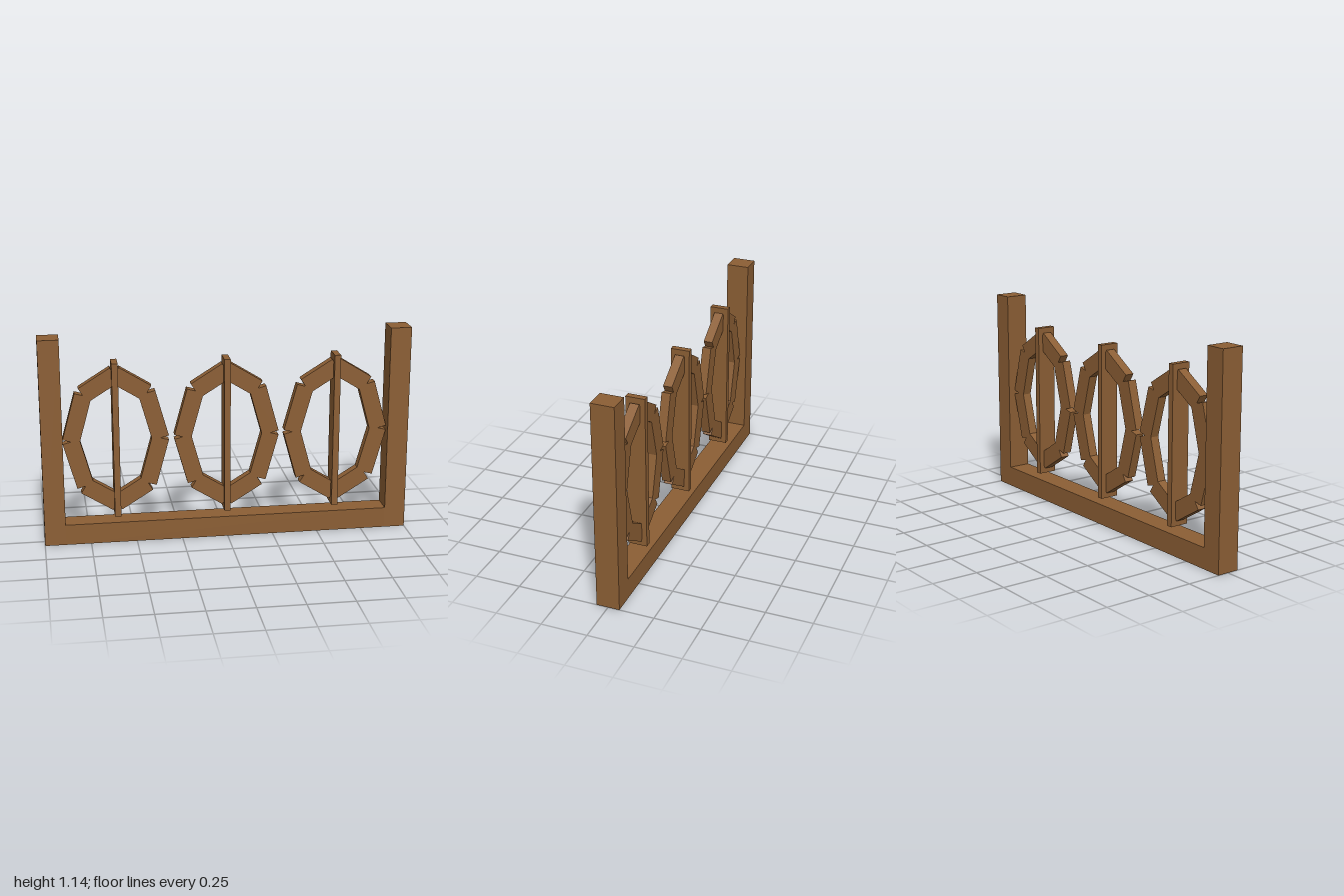
import * as THREE from 'three';

export function createModel() {
  const model = new THREE.Group();
  const wood = new THREE.MeshStandardMaterial({ color: 0x8b5e34 });
  wood.name = 'brown wood';

  const beam = (parent, name, w, h, d, x, y, angle = 0) => {
    const mesh = new THREE.Mesh(new THREE.BoxGeometry(w, h, d), wood);
    mesh.name = name;
    mesh.position.set(x, y, 0);
    mesh.rotation.z = angle;
    parent.add(mesh);
  };

  // Frame: two end posts and a bottom rail
  for (const side of [-1, 1]) {
    beam(model, side > 0 ? 'leftPost' : 'rightPost', 0.114, 1.143, 0.125, side * 0.943, 0.5715);
  }
  beam(model, 'bottomRail', 1.772, 0.114, 0.125, 0, 0.057);

  // Three oval rings of eight straight slats, each with an upright bar
  const rx = 0.24, ry = 0.36;
  for (const x of [-0.6, 0, 0.6]) {
    const panel = new THREE.Group();
    panel.name = 'ovalPanel';
    panel.position.set(x, 0.573, 0);
    beam(panel, 'uprightBar', 0.034, 0.857, 0.105, 0, 0);
    for (let i = 0; i < 8; i++) {
      const [a, b] = [i, i + 1].map((k) => new THREE.Vector2(
        rx * Math.cos(k * Math.PI / 4), ry * Math.sin(k * Math.PI / 4)));
      const dir = b.clone().sub(a);
      beam(panel, 'ringSlat', dir.length(), 0.093, 0.05,
        (a.x + b.x) / 2, (a.y + b.y) / 2, dir.angle());
    }
    model.add(panel);
  }
  return model;
}
